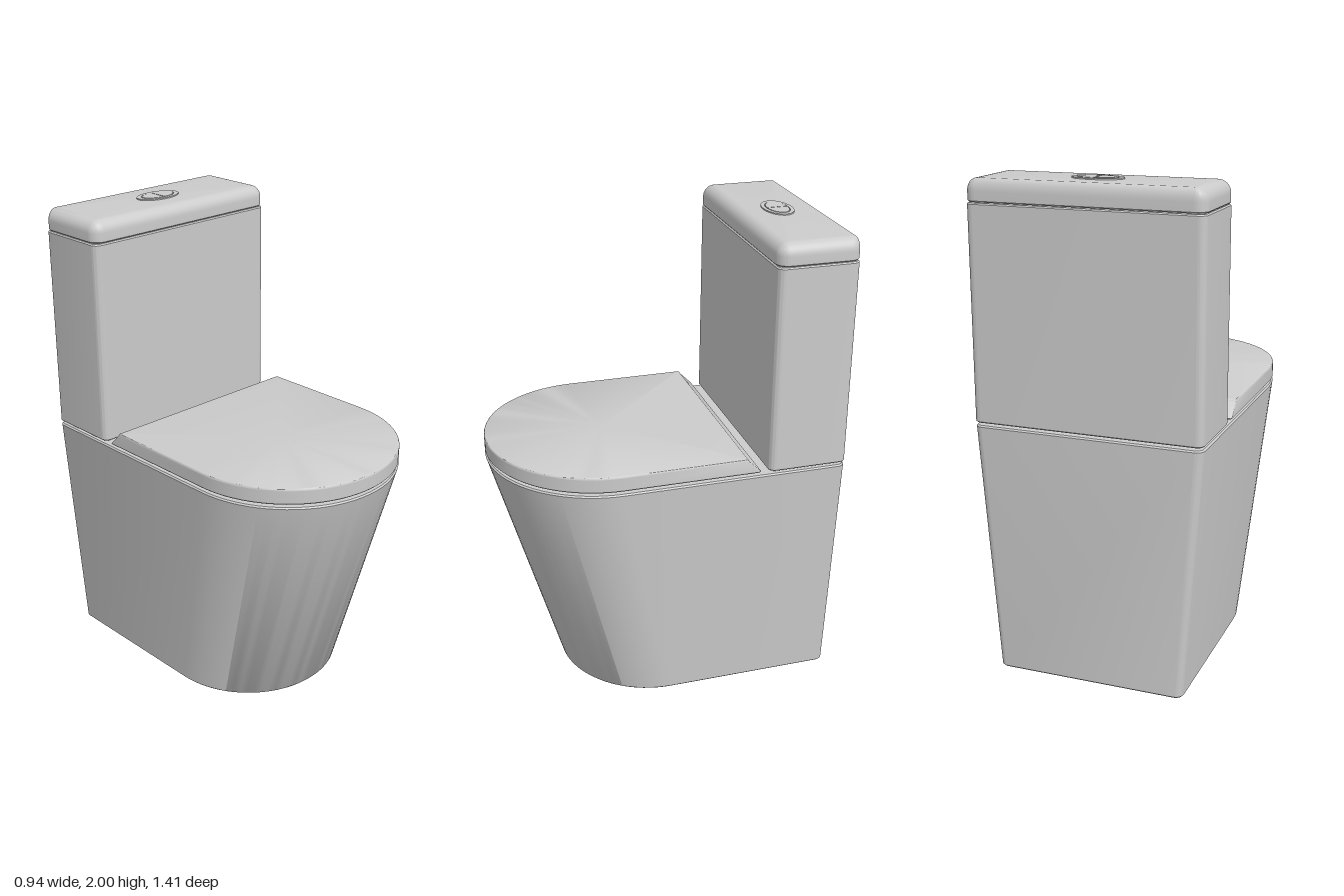
import * as THREE from 'three';
import { toCreasedNormals } from 'three/addons/utils/BufferGeometryUtils.js';

const material = new THREE.MeshStandardMaterial({ color: 0xcccccc });
const ARC = 20; // segments per rounded corner

// Rounded rectangle in plan; a front radius equal to the half width gives a D shape
function outline({ hw, back, front, rb, rf }) {
  const corners = [
    [hw - rf, front - rf, rf, 0],
    [-hw + rf, front - rf, rf, 1],
    [-hw + rb, back + rb, rb, 2],
    [hw - rb, back + rb, rb, 3],
  ];
  const points = [];
  for (const [cx, cz, r, quarter] of corners) {
    for (let i = 0; i <= ARC; i++) {
      const a = (quarter + i / ARC) * Math.PI / 2;
      points.push([cx + r * Math.cos(a), cz + r * Math.sin(a)]);
    }
  }
  return points;
}

// Closed solid through plan outlines stacked from bottom to top
function loft(name, sections) {
  const positions = [], index = [];
  const n = 4 * (ARC + 1);
  for (const s of sections) {
    for (const [x, z] of outline(s)) positions.push(x, s.y, z);
  }
  for (let i = 0; i < sections.length - 1; i++) {
    for (let j = 0; j < n; j++) {
      const a = i * n + j, b = i * n + (j + 1) % n;
      index.push(a, a + n, b, b, a + n, b + n);
    }
  }
  const last = sections.length - 1;
  const bottom = positions.length / 3, top = bottom + 1;
  for (const s of [sections[0], sections[last]]) positions.push(0, s.y, (s.back + s.front) / 2);
  for (let j = 0; j < n; j++) {
    const k = (j + 1) % n;
    index.push(bottom, j, k, top, last * n + k, last * n + j);
  }
  const geometry = new THREE.BufferGeometry();
  geometry.setAttribute('position', new THREE.Float32BufferAttribute(positions, 3));
  geometry.setIndex(index);
  const mesh = new THREE.Mesh(toCreasedNormals(geometry, 0.6), material);
  mesh.name = name;
  return mesh;
}

// Section pulled inwards by d, with a separate amount at the back
function inset(s, y, d, dBack = d) {
  return {
    y, hw: s.hw - d, back: s.back + dBack, front: s.front - d,
    rb: Math.max(s.rb - d, 0.004), rf: Math.max(s.rf - d, 0.004),
  };
}

// Quarter-round sections for a top edge
function roundedTop(s, y, r, rBack = r, steps = 8) {
  return Array.from({ length: steps + 1 }, (_, i) => {
    const a = i / steps * Math.PI / 2, k = 1 - Math.cos(a);
    return inset(s, y - r + r * Math.sin(a), r * k, rBack * k);
  });
}

// Flat plate lying on top of the cistern
function plate(name, shape, y, height) {
  const geometry = new THREE.ExtrudeGeometry(shape, { depth: height, bevelEnabled: false, curveSegments: 32 });
  geometry.rotateX(-Math.PI / 2);
  const mesh = new THREE.Mesh(toCreasedNormals(geometry, 0.6), material);
  mesh.name = name;
  mesh.position.set(0, y, -0.54);
  return mesh;
}

export function createModel() {
  const model = new THREE.Group();
  model.name = 'toilet';

  // Pedestal tapering down to a smaller D
  const foot = { hw: 0.395, back: -0.705, front: 0.41, rb: 0.035, rf: 0.394 };
  const rim = { hw: 0.47, back: -0.705, front: 0.705, rb: 0.035, rf: 0.469 };
  model.add(loft('pedestal', [
    inset(foot, 0, 0.006), { ...foot, y: 0.006 },
    { ...rim, y: 1.03 }, inset(rim, 1.036, 0.006),
  ]));

  // Seat cover with a sloping back edge
  const cover = { hw: 0.47, back: -0.335, front: 0.705, rb: 0.006, rf: 0.469 };
  model.add(loft('seatCover', [
    inset(cover, 1.049, 0.005), { ...cover, y: 1.054 },
    { ...cover, y: 1.108, back: -0.281 },
    ...roundedTop({ ...cover, back: -0.279 }, 1.118, 0.008, 0.01, 4),
  ]));

  // Cistern
  const tank = { hw: 0.47, back: -0.705, front: -0.37, rb: 0.03, rf: 0.03 };
  model.add(loft('cistern', [
    inset(tank, 1.047, 0.005), { ...tank, y: 1.052 },
    { ...tank, y: 1.897 }, inset(tank, 1.902, 0.005),
  ]));

  // Cistern lid, softly rounded at the front and sides
  const lid = { hw: 0.472, back: -0.707, front: -0.367, rb: 0.045, rf: 0.05 };
  model.add(loft('cisternLid', [
    inset(lid, 1.905, 0.005), { ...lid, y: 1.91 },
    ...roundedTop(lid, 1.994, 0.05, 0.025),
  ]));

  // Flush button: oval bezel around two half buttons
  const flush = new THREE.Group();
  flush.name = 'flushButton';
  const bezel = new THREE.Shape().absellipse(0, 0, 0.104, 0.061, 0, Math.PI * 2);
  bezel.holes.push(new THREE.Path().absellipse(0, 0, 0.082, 0.046, 0, Math.PI * 2));
  flush.add(plate('bezel', bezel, 1.985, 0.014));
  for (const [name, x, start] of [['leftButton', 0.002, -Math.PI / 2], ['rightButton', -0.002, Math.PI / 2]]) {
    const half = new THREE.Shape().absellipse(x, 0, 0.076, 0.043, start, start + Math.PI);
    flush.add(plate(name, half, 1.985, 0.015));
  }
  model.add(flush);

  return model;
}
